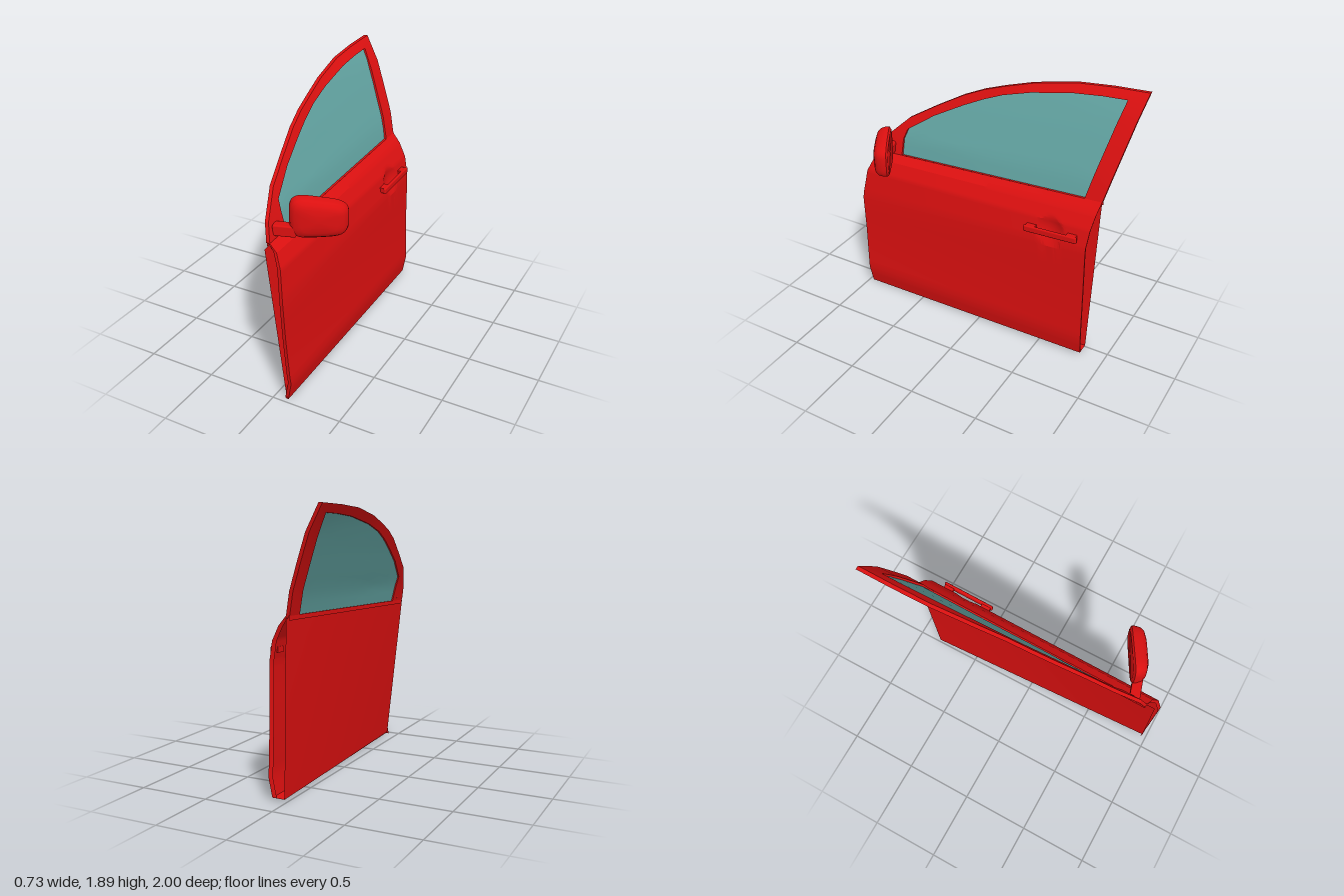
import * as THREE from 'three';
import { toCreasedNormals } from 'three/addons/utils/BufferGeometryUtils.js';
import { RoundedBoxGeometry } from 'three/addons/geometries/RoundedBoxGeometry.js';

const lerp = THREE.MathUtils.lerp;

// Surface from a rule: point(i, j) gives [x, y, z]
function grid(nu, nv, point, crease = 0.35) {
  const pos = [], index = [];
  for (let i = 0; i <= nu; i++) {
    for (let j = 0; j <= nv; j++) pos.push(...point(i, j));
  }
  for (let i = 0; i < nu; i++) {
    for (let j = 0; j < nv; j++) {
      const a = i * (nv + 1) + j, b = a + nv + 1;
      index.push(a, b, a + 1, b, b + 1, a + 1);
    }
  }
  const g = new THREE.BufferGeometry();
  g.setAttribute('position', new THREE.Float32BufferAttribute(pos, 3));
  g.setIndex(index);
  return toCreasedNormals(g, crease);
}

// Piecewise linear lookup in [[key, value], ...]
function table(rows, k) {
  let i = 0;
  while (i < rows.length - 2 && k > rows[i + 1][0]) i++;
  const [a, b] = [rows[i], rows[i + 1]];
  return lerp(a[1], b[1], (k - a[0]) / (b[0] - a[0]));
}

// Window line height, and the inward lean above it
const sill = (z) => 1.165 - 0.048 * z;
const LEAN = [[0, -0.03], [0.12, -0.06], [0.27, -0.125], [0.38, -0.17], [0.6, -0.27], [0.68, -0.338]];
const lean = (z, y) => table(LEAN, y - sill(z));

// Outer panel rows: front z, y, x, then rear z, y, x
const ROWS = [
  [0.97, 0, 0.1, -0.83, 0.02, 0.1],
  [0.976, 0.14, 0.13, -0.835, 0.16, 0.125],
  [0.98, 0.2, 0.125, -0.832, 0.22, 0.122],
  [0.99, 0.5, 0.11, -0.825, 0.55, 0.115],
  [1, 0.76, 0.105, -0.82, 0.86, 0.115],
  [0.995, 0.81, 0.1, -0.82, 0.91, 0.113],
  [0.965, 0.99, 0.075, -0.832, 1.04, 0.085],
  [0.93, 1.08, 0.03, -0.845, 1.14, 0.03],
  [0.91, 1.121, -0.03, -0.855, 1.206, -0.03],
];
const SUB = [2, 1, 2, 2, 1, 8, 6, 2]; // subdivisions between rows
const FINE = [];
SUB.forEach((n, r) => {
  for (let k = 0; k < n; k++) FINE.push(ROWS[r].map((v, c) => lerp(v, ROWS[r + 1][c], k / n)));
});
FINE.push(ROWS[8]);

// Window frame: outer z, y, then inner z, y
const FRAME = [
  [0.91, 1.12, 0.72, 1.13], [0.87, 1.24, 0.72, 1.25], [0.7, 1.4, 0.7, 1.32],
  [0.5, 1.52, 0.5, 1.455], [0.3, 1.63, 0.28, 1.57], [0.15, 1.695, 0.14, 1.635],
  [0, 1.745, 0, 1.69], [-0.2, 1.8, -0.2, 1.745], [-0.5, 1.855, -0.5, 1.8],
  [-0.75, 1.877, -0.7, 1.82], [-1, 1.89, -0.87, 1.83], [-0.965, 1.72, -0.835, 1.68],
  [-0.93, 1.55, -0.8, 1.52], [-0.89, 1.36, -0.765, 1.36], [-0.855, 1.205, -0.73, 1.2],
];

// Mirror housing: a rounded dome on a flat back
function mirrorGeometry() {
  const rings = [[0, 0], [0.9, 0], [1, 0.012], [1, 0.035], [0.94, 0.07], [0.82, 0.092], [0.6, 0.104], [0.3, 0.11], [0, 0.112]];
  const n = 40;
  return grid(rings.length - 1, n, (i, j) => {
    const [s, depth] = rings[i], a = (j / n) * Math.PI * 2;
    const c = Math.cos(a), d = Math.sin(a);
    const u = Math.sign(c) * Math.abs(c) ** 0.5 * s;
    const v = Math.sign(d) * Math.abs(d) ** 0.5 * s;
    const h = v > 0 ? 0.13 - 0.028 * u : 0.13 - 0.008 * u;
    return [u * 0.185, v * h, depth];
  }, 0.7);
}

export function createModel() {
  const red = new THREE.MeshStandardMaterial({ color: 0xdb1010, side: THREE.DoubleSide });
  red.name = 'red paint';
  const teal = new THREE.MeshStandardMaterial({ color: 0x62a3a1, side: THREE.DoubleSide });
  teal.name = 'tinted glass';
  const model = new THREE.Group();
  model.name = 'carDoor';
  const add = (name, geometry, material = red, parent = model) => {
    const m = new THREE.Mesh(geometry, material);
    m.name = name;
    parent.add(m);
    return m;
  };

  // Outer panel, with a round hollow behind the handle
  const cols = 80;
  add('outerPanel', grid(cols, FINE.length - 1, (i, j) => {
    const [fz, fy, fx, rz, ry, rx] = FINE[j], t = i / cols;
    const z = lerp(fz, rz, t), y = lerp(fy, ry, t);
    const r = Math.hypot(z + 0.55, y - 0.955) / 0.105;
    return [lerp(fx, rx, t) - 0.03 * Math.max(0, 1 - r * r), y, z];
  }));

  // Folded edges at the front and rear of the outer panel
  [[0, 'frontFlange', -0.008], [3, 'rearFlange', 0.008]].forEach(([o, name, dz]) => {
    add(name, grid(2, 8, (i, j) => {
      const r = ROWS[j];
      const w = j === 8 ? 0.02 : 0.028;
      return [r[o + 2] - w * [0, 0.6, 1][i], r[o + 1], r[o] + dz * [0, 0.3, 1][i]];
    }));
  });

  // Inner panel, twisted so it nears the skin at the lower front
  add('innerPanel', grid(8, 8, (i, j) => {
    const t = i / 8, s = j / 8;
    return [
      lerp(lerp(0.088, 0.01, t), -0.03, s),
      lerp(0.02, lerp(1.11, 1.2, t), s),
      lerp(lerp(0.97, -0.83, t), lerp(0.97, -0.855, t), s),
    ];
  }));
  add('bottomEdge', grid(1, 1, (i, j) => [
    j ? 0.1 : (i ? 0.01 : 0.088), i || !j ? 0.02 : 0, i ? -0.83 : 0.97,
  ]));

  // Window frame, a closed four-sided section swept round the opening
  add('windowFrame', grid(FRAME.length - 1, 4, (i, j) => {
    const f = FRAME[i], outer = j === 0 || j > 2;
    const z = outer ? f[0] : f[2], y = outer ? f[1] : f[3];
    return [lean(z, y) - (j === 2 || j === 3 ? 0.026 : 0), y, z];
  }));
  add('windowSill', grid(1, 2, (i, j) => {
    const z = i ? -0.855 : 0.91;
    return [[-0.03, -0.052, -0.052][j], sill(z) - [0, 0, 0.03][j], z];
  }));

  // Glass, following the lean of the frame
  const top = FRAME.slice(1, 11);
  add('windowGlass', grid(top.length - 1, 8, (i, j) => {
    const [, , tz, ty] = top[i], s = j / 8;
    const bz = lerp(0.72, -0.73, (0.72 - tz) / 1.59);
    const z = lerp(bz, tz, s), y = lerp(sill(bz), ty, s);
    return [lean(z, y) - 0.016, y, z];
  }), teal);

  // Door handle
  const handle = new THREE.Group();
  handle.name = 'doorHandle';
  handle.position.set(0.133, 0.96, -0.565);
  handle.rotation.x = 0.05;
  model.add(handle);
  add('handleBar', new RoundedBoxGeometry(0.022, 0.046, 0.39, 3, 0.009), red, handle);
  [-0.15, 0.15].forEach((z) => {
    add('handleMount', new THREE.BoxGeometry(0.04, 0.038, 0.07), red, handle).position.set(-0.022, 0, z);
  });

  // Side mirror on its arm
  const mirror = add('mirrorHousing', mirrorGeometry());
  mirror.position.set(0.18, 1.262, 0.665);
  mirror.rotation.y = Math.PI / 6;
  const arm = add('mirrorArm', new RoundedBoxGeometry(0.15, 0.075, 0.07, 2, 0.01));
  arm.position.set(0.015, 1.18, 0.8);
  arm.rotation.y = 0.3;

  return model;
}
